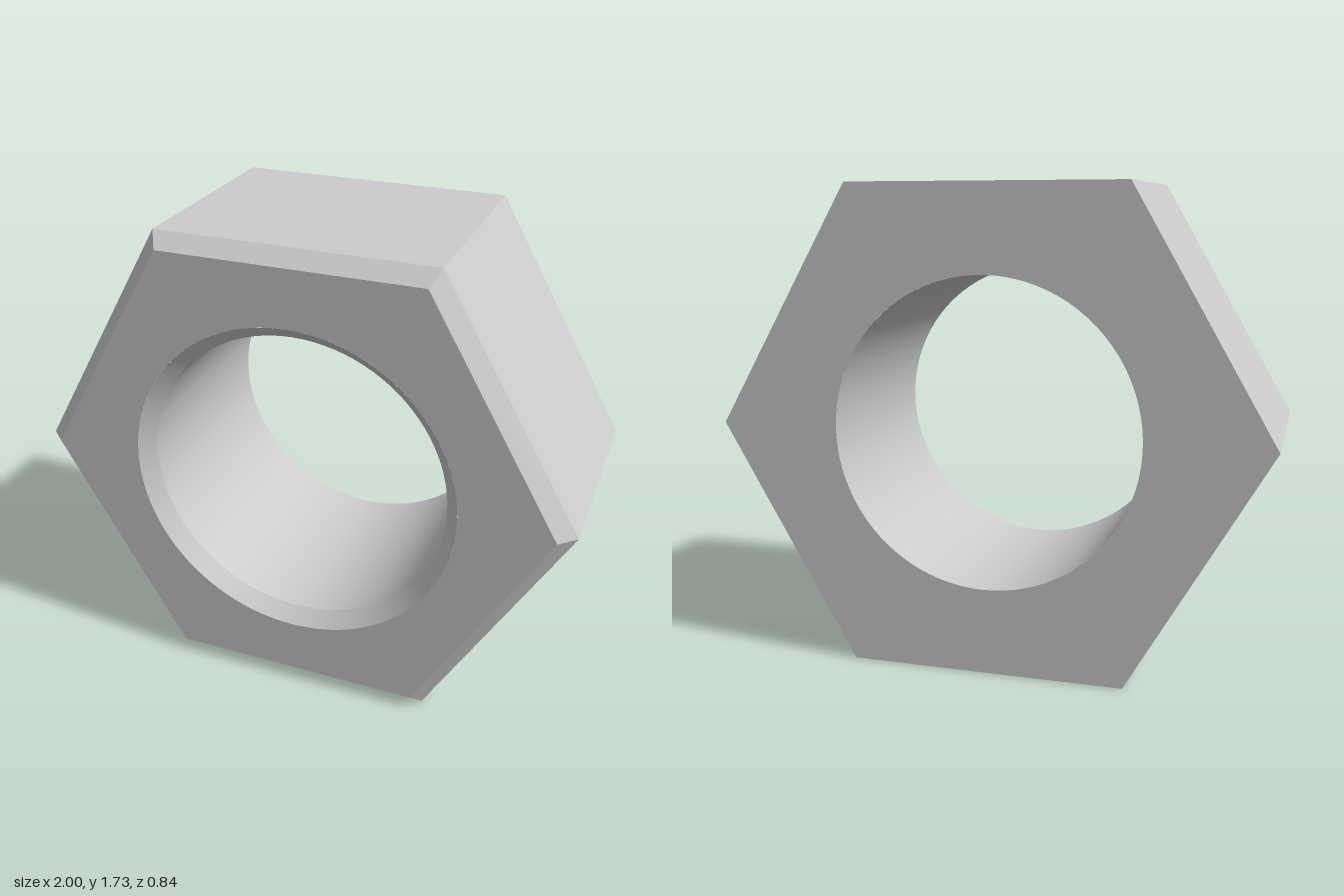
import * as THREE from 'three';

const R = 1, R_FRONT = 0.94;            // hexagon corner radius, and after the chamfer
const BORE = 0.555, BORE_FRONT = 0.605; // hole radius, and at its countersunk mouth
const BACK = -0.42, EDGE = 0.365, FRONT = 0.42;
const SEGMENTS = 96;

export function createModel() {
  const nut = new THREE.Group();
  nut.name = 'hexNut';
  nut.position.y = R * Math.sqrt(3) / 2;

  const flat = new THREE.MeshStandardMaterial({ color: 0xcccccc, flatShading: true });
  const smooth = new THREE.MeshStandardMaterial({ color: 0xcccccc });

  const add = (name, geometry, material) => {
    const mesh = new THREE.Mesh(geometry, material);
    mesh.name = name;
    nut.add(mesh);
    return mesh;
  };

  // Six-sided band along z
  const hexBand = (r0, r1, z0, z1) =>
    new THREE.CylinderGeometry(r1, r0, z1 - z0, 6, 1, true, Math.PI / 2)
      .rotateX(Math.PI / 2)
      .translate(0, 0, (z0 + z1) / 2);

  // Inward-facing round band: profile runs from front to back
  const boreBand = (r0, r1, z0, z1) =>
    new THREE.LatheGeometry([new THREE.Vector2(r1, z1), new THREE.Vector2(r0, z0)], SEGMENTS)
      .rotateX(Math.PI / 2);

  // Hexagon with a round hole
  const hexFace = (r, hole) => {
    const corners = Array.from({ length: 6 }, (_, i) =>
      new THREE.Vector2(r * Math.cos(i * Math.PI / 3), r * Math.sin(i * Math.PI / 3)));
    const shape = new THREE.Shape(corners);
    shape.holes.push(new THREE.Path().absarc(0, 0, hole, 0, Math.PI * 2, true));
    return new THREE.ShapeGeometry(shape, SEGMENTS);
  };

  // Outer flats and front chamfer
  add('sideFlats', hexBand(R, R, BACK, EDGE), flat);
  add('frontChamfer', hexBand(R, R_FRONT, EDGE, FRONT), flat);

  // End faces
  add('frontFace', hexFace(R_FRONT, BORE_FRONT), flat).position.z = FRONT;
  add('backFace', hexFace(R, BORE).rotateY(Math.PI), flat).position.z = BACK;

  // Bore and its countersink
  add('bore', boreBand(BORE, BORE, BACK, EDGE), smooth);
  add('boreCountersink', boreBand(BORE, BORE_FRONT, EDGE, FRONT), smooth);

  return nut;
}
